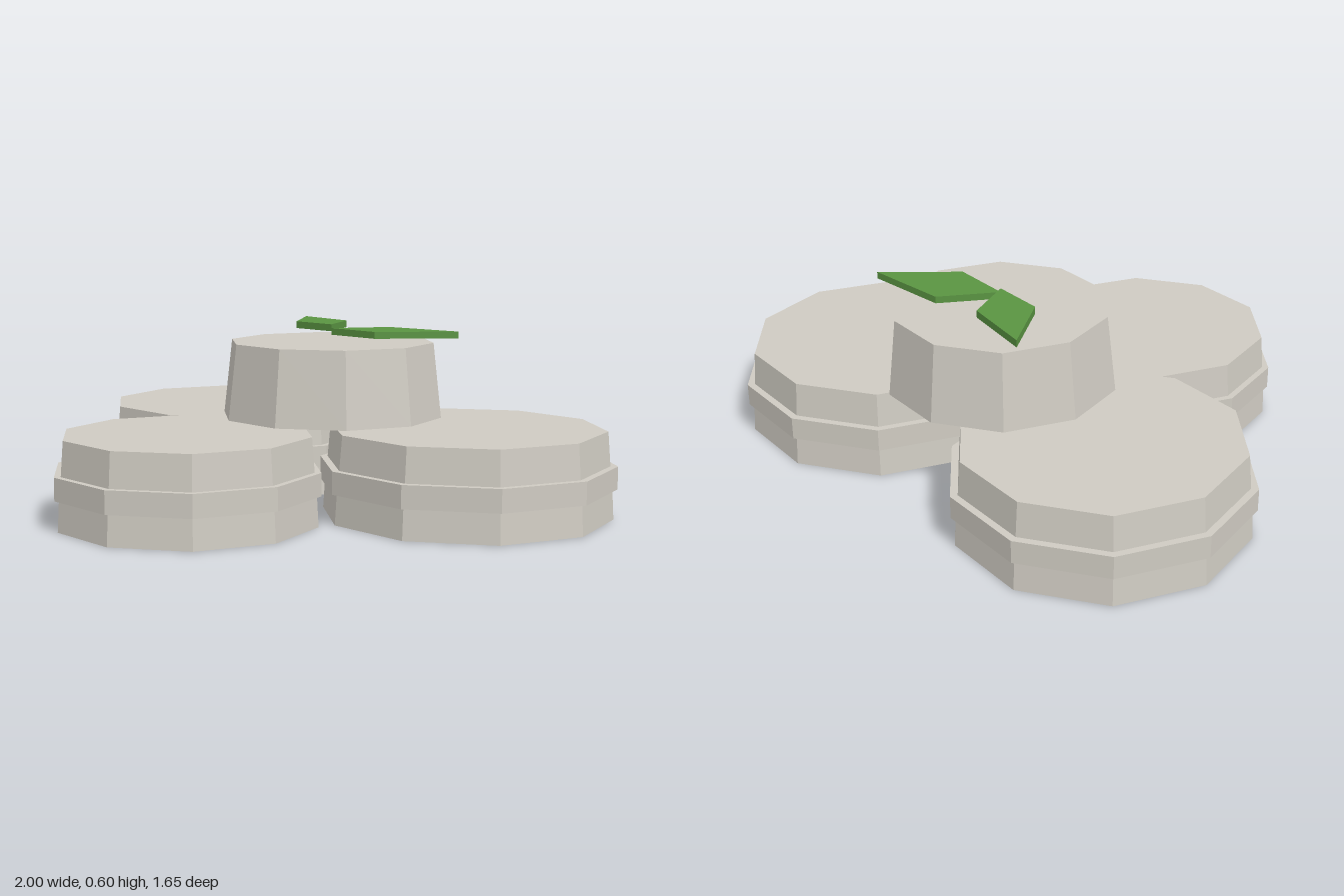
import * as THREE from 'three';

const SIDES = 10;
const stone = new THREE.MeshStandardMaterial({ color: 0xcfcbc2 });
stone.name = 'stone';
const leafGreen = new THREE.MeshStandardMaterial({ color: 0x5a9442 });
leafGreen.name = 'leafGreen';

// Faceted ten-sided solid from a [radius, height] profile, corners on the x axis
function facetedSolid(name, profile) {
  const points = profile.map(([r, y]) => new THREE.Vector2(r, y));
  const geometry = new THREE.LatheGeometry(points, SIDES, Math.PI / 2).toNonIndexed();
  geometry.computeVertexNormals();
  const mesh = new THREE.Mesh(geometry, stone);
  mesh.name = name;
  return mesh;
}

// Low disc with a raised band around its waist; r is the band radius
function bandedDisc(name, r, x, z) {
  const disc = facetedSolid(name, [
    [0, 0], [r * 0.98, 0], [r * 0.967, 0.1],
    [r, 0.1], [r, 0.175],
    [r * 0.95, 0.175], [r * 0.93, 0.288], [0, 0.288],
  ]);
  disc.position.set(x, 0, z);
  return disc;
}

// Flat leaf plate from [x, z] corners
function leaf(name, corners, bottom, thickness) {
  const shape = new THREE.Shape(corners.map(([x, z]) => new THREE.Vector2(x, -z)));
  const geometry = new THREE.ExtrudeGeometry(shape, { depth: thickness, bevelEnabled: false });
  geometry.rotateX(-Math.PI / 2);
  const mesh = new THREE.Mesh(geometry, leafGreen);
  mesh.name = name;
  mesh.position.y = bottom;
  return mesh;
}

export function createModel() {
  const model = new THREE.Group();
  model.name = 'stackedDiscs';

  // Three base discs
  model.add(bandedDisc('rightDisc', 0.489, -0.511, -0.235));
  model.add(bandedDisc('leftDisc', 0.489, 0.511, -0.365));
  model.add(bandedDisc('frontDisc', 0.439, 0, 0.4));

  // Tapered disc resting on top
  const top = facetedSolid('topDisc', [[0, 0.288], [0.383, 0.288], [0.354, 0.545], [0, 0.545]]);
  top.position.z = -0.235;
  model.add(top);

  // Pair of leaves floating just above
  model.add(leaf('rightLeaf',
    [[0, -0.235], [-0.18, -0.235], [-0.335, -0.425], [-0.09, -0.395]], 0.578, 0.024));
  model.add(leaf('leftLeaf',
    [[0, -0.235], [0.21, -0.235], [0.385, -0.458], [0.1, -0.42]], 0.566, 0.023));

  return model;
}
